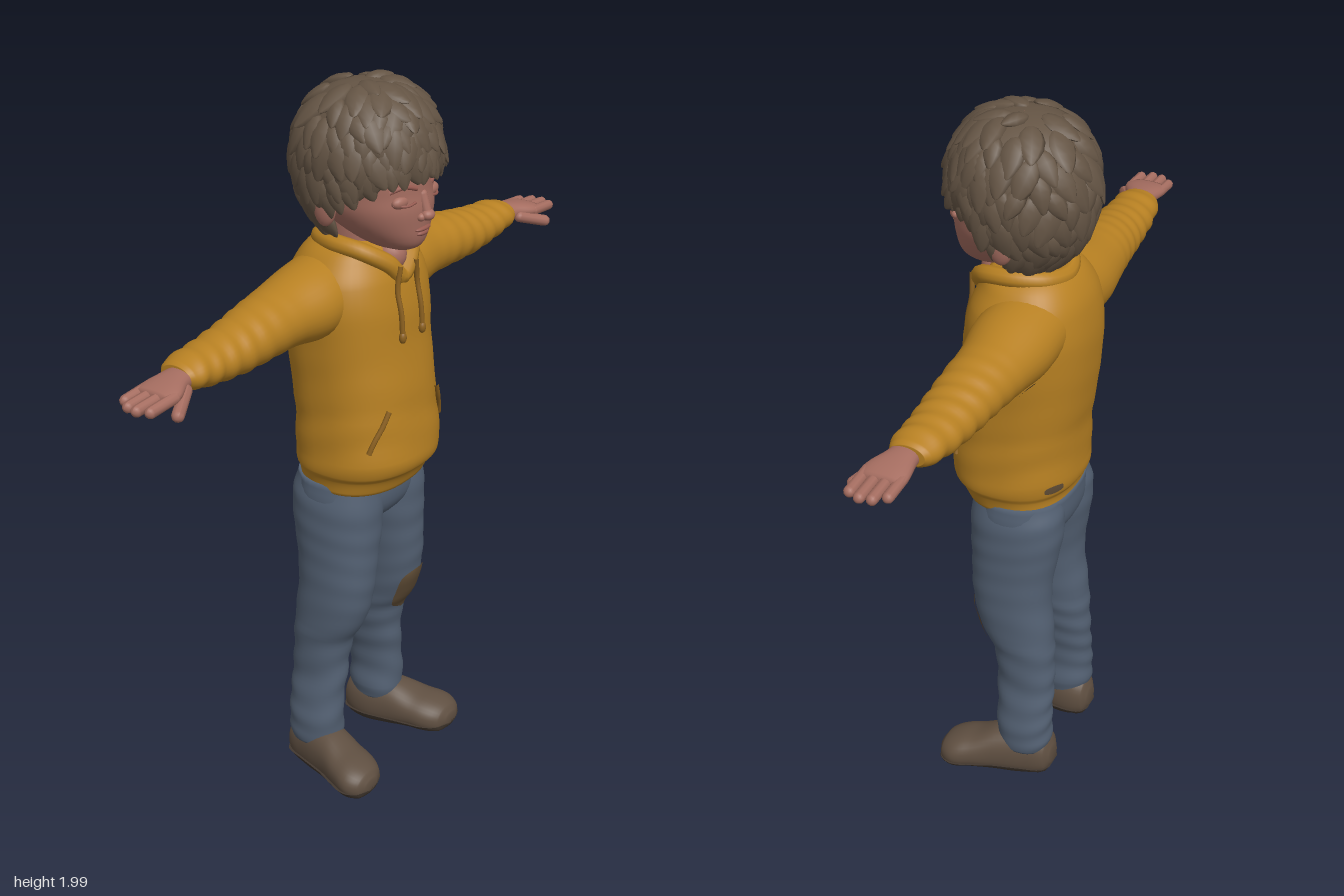
import * as THREE from 'three';
import { mergeGeometries } from 'three/addons/utils/BufferGeometryUtils.js';

const mat = (name, color) => Object.assign(new THREE.MeshStandardMaterial({ color }), { name });
const M = {
  hoodie: mat('mustard cloth', 0xb78022), trim: mat('dark mustard trim', 0x8a5f1e),
  jeans: mat('blue denim', 0x536072), skin: mat('skin', 0xa56d60), lips: mat('lips', 0x94594f),
  hair: mat('brown hair', 0x645444), shoe: mat('shoe leather', 0x5f4f41), sole: mat('shoe sole', 0x42382f),
  patch: mat('brown patch', 0x5f4c35),
};

// Axis placements for lofts: rows are [t, centreU, centreV, radiusU, radiusV]
const AX = { x: (u, t, v) => [t, v, u], y: (u, t, v) => [u, t, v], z: (u, t, v) => [v, u, t] };

// Smooth interpolation of the section rows at t
function sample(rows, t) {
  let i = 0;
  while (i < rows.length - 2 && t > rows[i + 1][0]) i++;
  const slope = (j, k) => {
    const a = rows[Math.max(j - 1, 0)], b = rows[Math.min(j + 1, rows.length - 1)];
    return (b[k] - a[k]) / (b[0] - a[0]);
  };
  const A = rows[i], B = rows[i + 1], h = B[0] - A[0], s = (t - A[0]) / h, s2 = s * s, s3 = s2 * s;
  return [1, 2, 3, 4].map(k => (2 * s3 - 3 * s2 + 1) * A[k] + (s3 - 2 * s2 + s) * h * slope(i, k)
    + (3 * s2 - 2 * s3) * B[k] + (s3 - s2) * h * slope(i + 1, k));
}
const pw = (c, e) => Math.sign(c) * Math.abs(c) ** e;
function surface(p, t, a, grow = 0) {
  const [cu, cv, ru, rv] = sample(p.rows, t), k = p.fold ? p.fold(t, a) : 1;
  return AX[p.axis](cu + (ru * k + grow) * pw(Math.cos(a), p.e ?? 1), t, cv + (rv * k + grow) * pw(Math.sin(a), p.e ?? 1));
}
function build(pos, idx) {
  const g = new THREE.BufferGeometry();
  g.setAttribute('position', new THREE.Float32BufferAttribute(pos, 3));
  g.setIndex(idx);
  g.computeVertexNormals();
  return g;
}
// Closed body through the rows, capped at both ends
function loft(p, n = 36, m = 5, grow = 0) {
  const ts = [], pos = [], idx = [];
  p.rows.forEach((r, i) => {
    if (i) for (let k = 0; k < m; k++) ts.push(p.rows[i - 1][0] + (r[0] - p.rows[i - 1][0]) * k / m);
  });
  ts.push(p.rows.at(-1)[0]);
  ts.forEach((t, i) => {
    for (let j = 0; j < n; j++) {
      pos.push(...surface(p, t, j / n * Math.PI * 2, grow));
      if (!i) continue;
      const a = (i - 1) * n + j, c = (i - 1) * n + (j + 1) % n;
      idx.push(a, a + n, c, c, a + n, c + n);
    }
  });
  const last = (ts.length - 1) * n, e = ts.length * n;
  for (const t of [ts[0], ts.at(-1)]) {
    const [cu, cv] = sample(p.rows, t);
    pos.push(...AX[p.axis](cu, t, cv));
  }
  for (let j = 0; j < n; j++) {
    const k = (j + 1) % n;
    idx.push(e, j, k, e + 1, last + k, last + j);
  }
  return build(pos, idx);
}
// Thin rounded patch lying on a lofted body
function patchOn(p, t0, t1, ang, half) {
  const pos = [], idx = [], n = 12;
  for (let i = 0; i <= n; i++) for (let j = 0; j <= n; j++) {
    const s = i / n * 2 - 1, w = half * Math.sqrt(Math.max(0.02, 1 - s ** 4));
    pos.push(...surface(p, t0 + (t1 - t0) * i / n, ang + w * (j / n * 2 - 1), 0.004));
    if (i && j) {
      const d = i * (n + 1) + j, c = d - 1, b = d - n - 1, a = b - 1;
      idx.push(a, c, b, b, c, d);
    }
  }
  return build(pos, idx);
}
function deform(g, fn) {
  const P = g.attributes.position;
  for (let i = 0; i < P.count; i++) P.setXYZ(i, ...fn(P.getX(i), P.getY(i), P.getZ(i)));
  g.computeVertexNormals();
  return g;
}
function mirror(g) {
  const m = deform(g.clone(), (x, y, z) => [-x, y, z]), ix = m.index.array;
  for (let i = 0; i < ix.length; i += 3) [ix[i], ix[i + 1]] = [ix[i + 1], ix[i]];
  m.computeVertexNormals();
  return m;
}
const blob = (x, y, z, a, b, c) => new THREE.SphereGeometry(1, 20, 14).scale(a, b, c).translate(x, y, z);
const tube = (pts, r, closed = false) => new THREE.TubeGeometry(
  new THREE.CatmullRomCurve3(pts.map(p => new THREE.Vector3(...p)), closed), closed ? 64 : 20, r, 10, closed);
function finger(a, b, r) {
  const A = new THREE.Vector3(...a), B = new THREE.Vector3(...b), d = B.clone().sub(A), len = d.length();
  const q = new THREE.Quaternion().setFromUnitVectors(new THREE.Vector3(0, 1, 0), d.normalize());
  const c = A.add(B).multiplyScalar(0.5);
  return new THREE.CapsuleGeometry(r, len, 6, 10).applyQuaternion(q).translate(c.x, c.y, c.z);
}

const torso = { axis: 'y', e: 0.85, rows: [
  [0.9, 0, -0.01, 0.182, 0.145], [0.94, 0, -0.002, 0.19, 0.157], [0.96, 0, 0.002, 0.198, 0.172], [1.0, 0, 0.004, 0.2, 0.176],
  [1.1, 0, -0.002, 0.196, 0.17], [1.2, 0, -0.013, 0.196, 0.172], [1.3, 0, -0.025, 0.2, 0.17], [1.4, 0, -0.03, 0.205, 0.167],
  [1.48, 0, -0.033, 0.195, 0.152], [1.53, 0, -0.035, 0.165, 0.13], [1.57, 0, -0.03, 0.125, 0.1], [1.58, 0, -0.03, 0.08, 0.07]],
  fold: (y, a) => 1 + 0.008 * Math.sin(y * 60 + 2 * Math.sin(a * 2)) * (y < 1.15 ? 1 : 0.3) };
const sleeve = { axis: 'x', rows: [
  [0.1, -0.06, 1.45, 0.11, 0.1], [0.2, -0.055, 1.437, 0.112, 0.099], [0.3, -0.056, 1.433, 0.096, 0.083], [0.4, -0.05, 1.428, 0.087, 0.075],
  [0.5, -0.045, 1.42, 0.079, 0.065], [0.6, -0.043, 1.418, 0.071, 0.053], [0.66, -0.04, 1.422, 0.065, 0.046],
  [0.7, -0.038, 1.424, 0.058, 0.036], [0.715, -0.037, 1.424, 0.045, 0.027]],
  fold: (x, a) => 1 + 0.035 * Math.min(1, Math.max(0, (x - 0.3) * 5)) * Math.sin(x * 105 + 1.6 * Math.sin(a + x * 9)) };
const leg = { axis: 'y', e: 0.92, rows: [
  [0.08, 0.145, -0.072, 0.062, 0.072], [0.12, 0.146, -0.07, 0.067, 0.08], [0.2, 0.145, -0.07, 0.061, 0.08], [0.3, 0.131, -0.067, 0.06, 0.083],
  [0.4, 0.124, -0.06, 0.07, 0.086], [0.5, 0.12, -0.033, 0.079, 0.107], [0.6, 0.115, -0.018, 0.085, 0.112], [0.7, 0.107, -0.02, 0.092, 0.119],
  [0.78, 0.1, -0.025, 0.099, 0.128], [0.86, 0.096, -0.027, 0.098, 0.13], [0.92, 0.09, -0.025, 0.085, 0.12]],
  fold: (y, a) => 1 + (y < 0.45 ? 0.03 : 0.008) * Math.sin(y * 75 + 2 * Math.sin(a + y * 8)) };
const pelvis = { axis: 'y', e: 0.85, rows: [
  [0.765, 0, -0.03, 0.06, 0.05], [0.79, 0, -0.028, 0.13, 0.1], [0.84, 0, -0.027, 0.188, 0.128], [0.92, 0, -0.027, 0.185, 0.13]] };
const shoe = { axis: 'z', e: 0.9, rows: [
  [-0.157, 0.05, 0.138, 0.025, 0.025], [-0.14, 0.052, 0.138, 0.062, 0.05], [-0.08, 0.05, 0.143, 0.08, 0.064], [0, 0.048, 0.162, 0.074, 0.068],
  [0.06, 0.042, 0.181, 0.056, 0.074], [0.11, 0.036, 0.195, 0.05, 0.076], [0.148, 0.03, 0.2, 0.038, 0.056], [0.163, 0.03, 0.202, 0.016, 0.025]] };
const head = { axis: 'y', rows: [
  [1.562, 0, 0.1, 0.025, 0.035], [1.575, 0, 0.085, 0.056, 0.075], [1.6, 0, 0.065, 0.088, 0.108], [1.64, 0, 0.038, 0.124, 0.14],
  [1.68, 0, 0.018, 0.147, 0.162], [1.72, 0, 0, 0.159, 0.175], [1.76, 0, -0.005, 0.165, 0.178], [1.85, 0, -0.005, 0.155, 0.165], [1.94, 0, 0, 0.09, 0.09]] };
const frontZ = (p, x, y) => {
  const [, cz, rx, rz] = sample(p.rows, y), k = 2 / (p.e ?? 1);
  return cz + rz * Math.max(0, 1 - (Math.abs(x) / rx) ** k) ** (1 / k);
};

// Hair shell: azimuth a, v from crown (0) to hairline (1)
function hairPoint(a, v) {
  const f = Math.sin(a), line = f > 0.25 ? 1.715 + 0.065 * Math.min(1, (f - 0.25) * 2) : 1.605 + 0.11 * THREE.MathUtils.smoothstep(f, -0.35, 0.25);
  const end = Math.acos((line - 1.79) / (line > 1.79 ? 0.19 : 0.215)), ph = v * end, c = Math.cos(ph), s = Math.sin(ph) ** 0.8;
  const lump = 1 + 0.02 * Math.sin(a * 9 + v * 7) * Math.sin(v * 14);
  return new THREE.Vector3(0.183 * s * Math.cos(a) * lump, 1.79 + c * (c > 0 ? 0.19 : 0.215), 0.186 * s * f * lump);
}
function hairShell() {
  const pos = [], idx = [], n = 48, m = 18;
  for (let i = 0; i <= m; i++) for (let j = 0; j < n; j++) {
    pos.push(...hairPoint(j / n * Math.PI * 2, Math.max(i / m, 0.001)).toArray());
    if (!i) continue;
    const a = i * n + j, c = i * n + (j + 1) % n;
    idx.push(a, a - n, c, c, a - n, c - n);
  }
  return build(pos, idx);
}
function hairLocks() {
  const locks = [];
  let seed = 7;
  const rnd = () => (seed = (seed * 16807) % 2147483647) / 2147483647;
  const add = (a, v, size) => {
    const p = hairPoint(a, v), down = hairPoint(a, v + 0.02).sub(hairPoint(a, v - 0.02)).normalize();
    const side = hairPoint(a + 0.02, v).sub(hairPoint(a - 0.02, v)).normalize();
    const n = down.clone().cross(side).normalize();
    if (n.dot(p.clone().sub(new THREE.Vector3(0, 1.78, 0))) < 0) n.negate();
    const Y = down.addScaledVector(side, (rnd() - 0.5) * 1.1).addScaledVector(n, 0.16).normalize().negate();
    const X = Y.clone().cross(n).normalize(), Z = X.clone().cross(Y);
    // pointed lower tip on each lock
    const g = deform(new THREE.SphereGeometry(1, 8, 7), (x, y, z) => {
      const w = y < 0 ? 1 + y * 0.45 : 1;
      return [x * w * 0.034 * size, y * 0.055 * size, z * w * 0.016];
    });
    locks.push(g.applyMatrix4(new THREE.Matrix4().makeBasis(X, Y, Z).setPosition(p)));
  };
  for (let i = 0; i < 170; i++) add(i * 2.39996, 0.1 + 0.85 * Math.sqrt(i / 170), 0.75 + rnd() * 0.4);
  for (let i = 0; i < 34; i++) add(i / 34 * Math.PI * 2, 0.96, 0.6 + rnd() * 0.3);
  return mergeGeometries(locks);
}

export function createModel() {
  const root = new THREE.Group();
  root.name = 'child';
  const add = (name, g, m) => {
    const mesh = new THREE.Mesh(g, m);
    mesh.name = name;
    root.add(mesh);
  };
  const pair = (name, g, m) => { add(name + 'Left', g, m); add(name + 'Right', mirror(g), m); };

  // Hoodie
  add('hoodieBody', loft(torso, 48), M.hoodie);
  pair('sleeve', loft(sleeve, 32, 10), M.hoodie);
  const half = [[0.05, 1.53, 0.1], [0.1, 1.567, 0.055], [0.112, 1.578, -0.02], [0.08, 1.573, -0.09]];
  add('collar', tube([[0, 1.485, 0.108], ...half, [0, 1.562, -0.12], ...half.map(([x, y, z]) => [-x, y, z]).reverse()], 0.024, true), M.hoodie);
  const onTorso = (x, y) => [x, y, frontZ(torso, x, y) + 0.005];
  pair('drawstring', tube([[0.035, 1.525, 0.13], ...[1.46, 1.4, 1.33].map(y => onTorso(0.044, y))], 0.007), M.trim);
  pair('drawstringKnot', blob(...onTorso(0.044, 1.335), 0.011, 0.016, 0.01), M.trim);
  pair('pocketEdge', tube([[0.108, 1.15], [0.128, 1.11], [0.15, 1.07], [0.162, 1.04]].map(p => onTorso(...p)), 0.007), M.trim);

  // Jeans
  add('jeansSeat', loft(pelvis, 40), M.jeans);
  pair('jeansLeg', loft(leg, 32, 7), M.jeans);

  // Worn patches
  add('kneePatch', patchOn(leg, 0.41, 0.56, 1.5, 0.72), M.patch);
  add('shoulderPatch', patchOn(sleeve, 0.24, 0.32, 3.95, 0.3), M.patch);
  add('elbowPatch', patchOn(sleeve, 0.43, 0.48, 4.1, 0.25), M.patch);
  add('wristPatch', patchOn(sleeve, 0.58, 0.62, 4.1, 0.35), M.patch);
  add('hemPatch', patchOn(torso, 0.97, 0.995, -0.95, 0.17), M.patch);

  // Shoes
  pair('shoe', deform(loft(shoe, 32), (x, y, z) => [x, Math.max(y, 0.004), z]), M.shoe);
  pair('sole', deform(loft(shoe, 32, 5, 0.003), (x, y, z) => [x, Math.min(Math.max(y, 0), 0.02), z]), M.sole);

  // Hands
  pair('palm', loft({ axis: 'x', e: 0.9, rows: [[0.69, -0.03, 1.423, 0.036, 0.025], [0.73, -0.027, 1.422, 0.042, 0.025],
    [0.78, -0.02, 1.418, 0.058, 0.022], [0.82, -0.02, 1.414, 0.058, 0.016]] }, 24), M.skin);
  [[-0.064, 0.858], [-0.035, 0.88], [-0.005, 0.885], [0.026, 0.873]].forEach(([z, x], i) =>
    pair('finger' + (i + 1), finger([0.79, 1.416, z], [x, 1.41, z], 0.0145), M.skin));
  pair('thumb', finger([0.735, 1.41, 0.012], [0.81, 1.385, 0.052], 0.016), M.skin);

  // Head and face
  add('head', loft(head, 40), M.skin);
  add('neck', loft({ axis: 'y', rows: [[1.48, 0, -0.01, 0.07, 0.08], [1.56, 0, -0.025, 0.078, 0.085], [1.66, 0, -0.025, 0.08, 0.085]] }, 28), M.skin);
  add('neckline', blob(0, 1.535, 0.065, 0.045, 0.05, 0.052), M.skin);
  add('noseBridge', finger([0, 1.715, 0.17], [0, 1.672, 0.184], 0.013), M.skin);
  add('noseTip', blob(0, 1.665, 0.187, 0.02, 0.015, 0.018), M.skin);
  pair('nostril', blob(0.017, 1.661, 0.178, 0.012, 0.011, 0.012), M.skin);
  add('upperLip', blob(0, 1.627, 0.172, 0.032, 0.007, 0.012), M.lips);
  add('lowerLip', blob(0, 1.615, 0.17, 0.025, 0.008, 0.012), M.lips);
  pair('eyelid', blob(0.064, 1.708, 0.148, 0.032, 0.018, 0.018), M.skin);
  const onFace = (x, y, d) => [x, y, frontZ(head, x, y) + d];
  pair('lashLine', tube([onFace(0.036, 1.704, 0.003), onFace(0.064, 1.7, 0.008), onFace(0.094, 1.705, 0.004)], 0.0035), M.lips);
  pair('brow', tube([onFace(0.03, 1.738, 0.002), onFace(0.065, 1.748, 0.002), onFace(0.1, 1.738, 0.002)], 0.006), M.lips);
  pair('ear', blob(0.163, 1.69, -0.012, 0.018, 0.05, 0.033), M.skin);

  // Hair
  M.hair.side = THREE.DoubleSide;
  add('hairCap', hairShell(), M.hair);
  add('hairLocks', hairLocks(), M.hair);
  return root;
}
